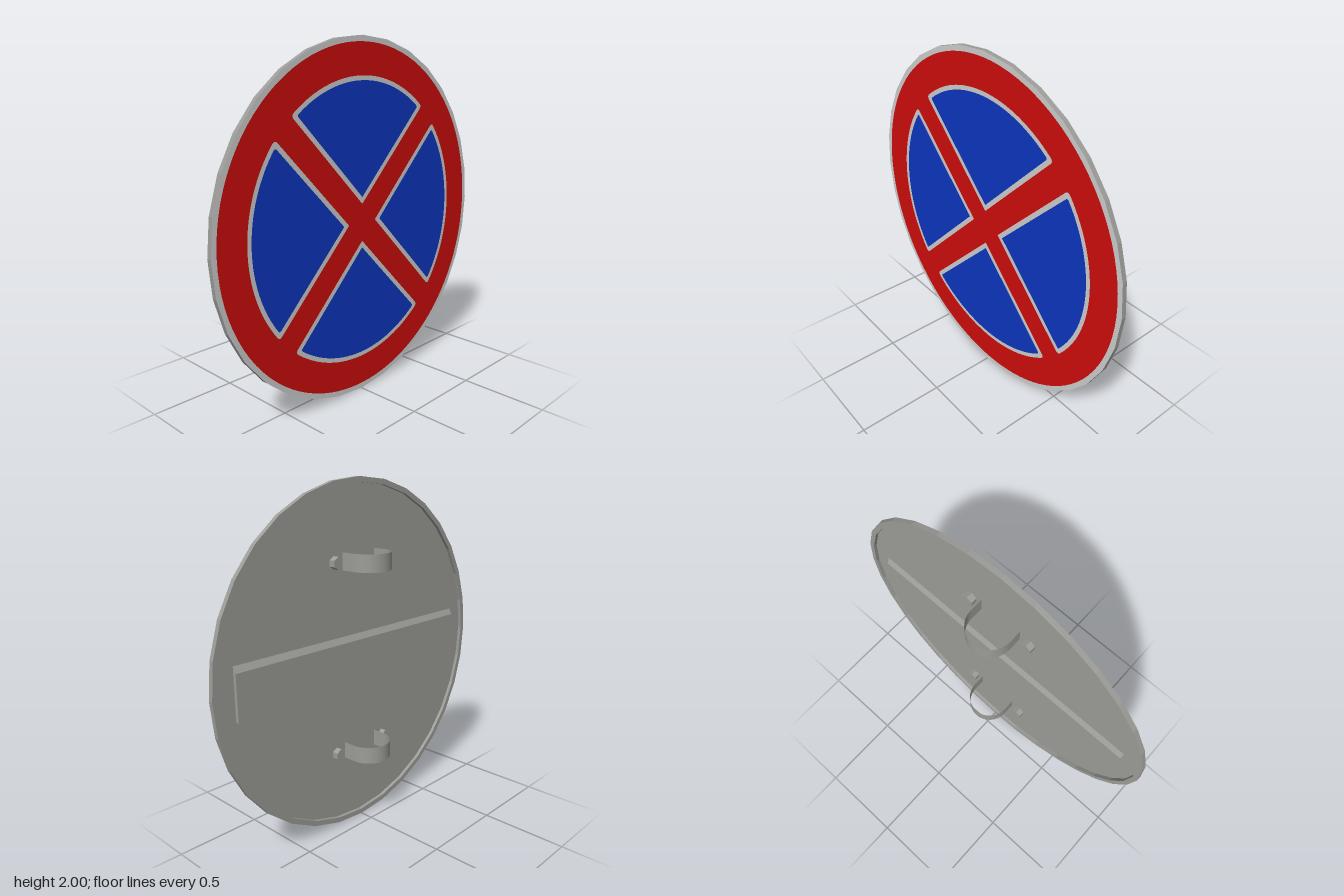
import * as THREE from 'three';
import { toCreasedNormals } from 'three/addons/utils/BufferGeometryUtils.js';

const FRONT = 0.107, PANEL = 0.1, BACK = 0.08; // depths of the plate layers
const CENTRE = 1;

const paint = (name, color, extra = {}) => {
  const m = new THREE.MeshStandardMaterial({ color, ...extra });
  m.name = name;
  return m;
};

// Points of a regular polygon, first corner on the x axis
function circlePoints(radius, count) {
  return Array.from({ length: count }, (_, i) => {
    const a = (i / count) * Math.PI * 2;
    return new THREE.Vector2(Math.cos(a) * radius, Math.sin(a) * radius);
  });
}

// Quarter sector bounded by two diagonals and an arc, with eased outer corners
function sectorPoints(apex, radius, ease) {
  const x = (-2 * apex + Math.sqrt(8 * radius * radius - 4 * apex * apex)) / 4;
  const corner = Math.atan2(x + apex, x);
  const start = corner + ease / radius, end = Math.PI - start;
  const d = ease * Math.SQRT1_2;
  const shape = new THREE.Shape();
  shape.moveTo(0, apex);
  shape.lineTo(x - d, x - d + apex);
  shape.quadraticCurveTo(x, x + apex, Math.cos(start) * radius, Math.sin(start) * radius);
  shape.absarc(0, 0, radius, start, end, false);
  shape.quadraticCurveTo(-x, x + apex, d - x, x - d + apex);
  return shape.getPoints(16);
}

function rotated(points, angle) {
  const origin = new THREE.Vector2();
  return points.map((p) => p.clone().rotateAround(origin, angle));
}

export function createModel() {
  const model = new THREE.Group();
  const red = paint('signal red', 0xd00d0d);
  const blue = paint('sign blue', 0x0d36c0);
  const white = paint('border white', 0xd0d0d0);
  const metal = paint('grey metal', 0x9c9c98);
  const sheet = paint('grey strap metal', 0x9c9c98, { side: THREE.DoubleSide });

  const add = (name, geometry, material, parent = model) => {
    const mesh = new THREE.Mesh(geometry, material);
    mesh.name = name;
    parent.add(mesh);
    return mesh;
  };

  // Flat face pieces fit edge to edge in one plane
  const addFace = (name, outline, holes, material) => {
    const shape = new THREE.Shape(outline);
    shape.holes = holes.map((h) => new THREE.Path(h));
    add(name, new THREE.ShapeGeometry(shape), material).position.set(0, CENTRE, FRONT);
  };

  // Plate with a raised rim around the recessed back
  const profile = [[0, PANEL], [0.97, PANEL], [0.97, BACK], [1, BACK], [1, FRONT]];
  const plate = new THREE.LatheGeometry(profile.map(([r, z]) => new THREE.Vector2(r, z)), 32);
  plate.rotateX(Math.PI / 2);
  add('signPlate', toCreasedNormals(plate, 0.1), metal).position.y = CENTRE;

  // Painted face: outer border, red field with cross, four bordered blue sectors
  const field = circlePoints(0.968, 96);
  const frame = sectorPoints(0.105, 0.795, 0.025);
  const core = sectorPoints(0.143, 0.77, 0.015);
  const turns = [0, 1, 2, 3].map((i) => (i * Math.PI) / 2);
  addFace('outerBorder', circlePoints(1, 32), [field], white);
  addFace('redRingAndCross', field, turns.map((a) => rotated(frame, a)), red);
  for (const a of turns) {
    addFace('sectorBorder', rotated(frame, a), [rotated(core, a)], white);
    addFace('blueSector', rotated(core, a), [], blue);
  }

  // Horizontal stiffener with a sloped top edge, lying in the recess
  const section = new THREE.Shape([
    [-PANEL, -0.147], [-BACK, -0.147], [-BACK, 0.108], [-PANEL, 0.142],
  ].map(([x, y]) => new THREE.Vector2(x, y)));
  const rail = new THREE.ExtrudeGeometry(section, { depth: 1.72, bevelEnabled: false });
  rail.translate(0, 0, -0.86).rotateY(Math.PI / 2);
  add('backStiffener', rail, metal).position.y = CENTRE;

  // Strap path seen from above: tab, leg, half circle, leg, tab
  const tabZ = 0.093, bowRadius = 0.125, bowZ = 0.018;
  const path = [[-0.26, tabZ], [-bowRadius, tabZ]];
  for (let i = 0; i <= 16; i++) {
    const a = Math.PI * (1 + i / 16);
    path.push([Math.cos(a) * bowRadius, bowZ + Math.sin(a) * bowRadius]);
  }
  path.push([bowRadius, tabZ], [0.26, tabZ]);

  // Pole clamps with hexagonal nuts
  for (const [name, y] of [['upperClamp', 1.562], ['lowerClamp', 0.463]]) {
    const clamp = new THREE.Group();
    clamp.name = name;
    clamp.position.y = y;
    model.add(clamp);

    const strap = new THREE.PlaneGeometry(1, 0.097, path.length - 1, 1);
    const pos = strap.attributes.position;
    for (let i = 0; i < pos.count; i++) {
      const [x, z] = path[i % path.length];
      pos.setX(i, x);
      pos.setZ(i, z);
    }
    // Reverse the winding so the strap faces backwards
    strap.index.array.reverse();
    add('strap', toCreasedNormals(strap, 0.6), sheet, clamp);

    for (const side of [-1, 1]) {
      const nut = new THREE.CylinderGeometry(0.035, 0.035, 0.036, 6);
      nut.rotateX(Math.PI / 2);
      add('nut', toCreasedNormals(nut, 0.5), metal, clamp).position.set(side * 0.19, 0, 0.075);
    }
  }
  return model;
}
